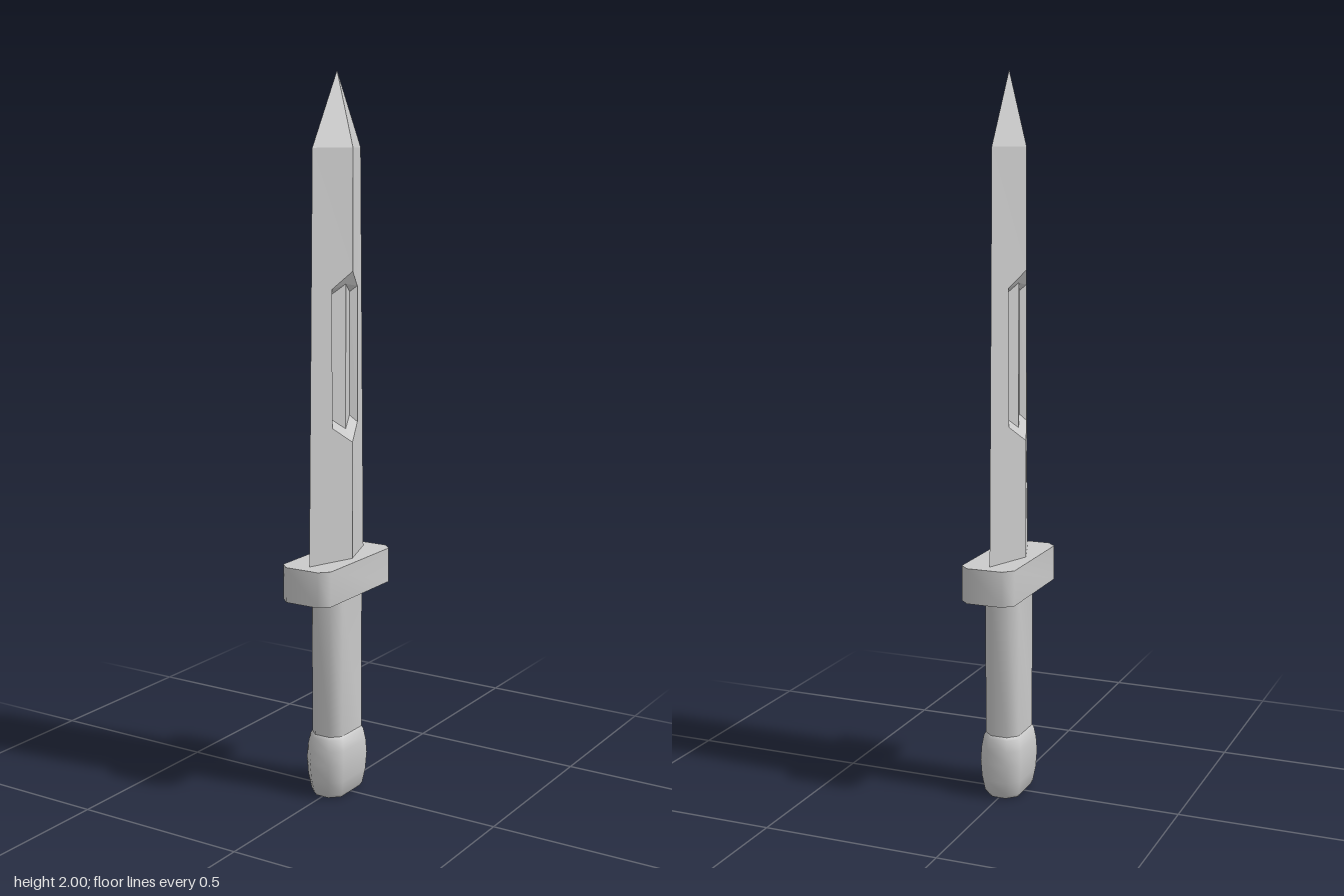
import * as THREE from 'three';
import { mergeVertices, toCreasedNormals } from 'three/addons/utils/BufferGeometryUtils.js';

const grey = () => new THREE.MeshStandardMaterial({ color: 0xcccccc });

// Lofts chamfered-rectangle sections [y, halfX, halfZ, chamfer] and caps both ends
function chamferedLoft(name, rings, crease) {
  const pos = [];
  const loops = rings.map(([y, x, z, c]) => [
    [x, y, z - c], [x - c, y, z], [c - x, y, z], [-x, y, z - c],
    [-x, y, c - z], [c - x, y, -z], [x - c, y, -z], [x, y, c - z],
  ]);
  const tri = (a, b, c) => pos.push(...a, ...b, ...c);
  for (let r = 0; r < loops.length - 1; r++) {
    for (let i = 0; i < 8; i++) {
      const j = (i + 1) % 8, lo = loops[r], hi = loops[r + 1];
      tri(lo[i], hi[j], lo[j]);
      tri(lo[i], hi[i], hi[j]);
    }
  }
  const bottom = loops[0], top = loops[loops.length - 1];
  for (let i = 1; i < 7; i++) {
    tri(bottom[0], bottom[i], bottom[i + 1]);
    tri(top[0], top[i + 1], top[i]);
  }
  // The loops run clockwise seen from above, so reverse every triangle
  for (let k = 0; k < pos.length; k += 9) {
    for (let d = 0; d < 3; d++) {
      [pos[k + 3 + d], pos[k + 6 + d]] = [pos[k + 6 + d], pos[k + 3 + d]];
    }
  }
  let geo = new THREE.BufferGeometry();
  geo.setAttribute('position', new THREE.Float32BufferAttribute(pos, 3));
  geo = fixWinding(geo);
  geo = toCreasedNormals(mergeVertices(geo), crease);
  const mesh = new THREE.Mesh(geo, grey());
  mesh.name = name;
  return mesh;
}

// Turns every triangle of a convex solid outward from its centre
function fixWinding(geo) {
  geo.computeBoundingBox();
  const centre = geo.boundingBox.getCenter(new THREE.Vector3());
  const p = geo.attributes.position;
  const v = [0, 1, 2].map(() => new THREE.Vector3());
  const t = new THREE.Triangle(), n = new THREE.Vector3();
  for (let i = 0; i < p.count; i += 3) {
    v.forEach((q, k) => q.fromBufferAttribute(p, i + k));
    t.set(...v).getNormal(n);
    if (n.dot(v[0].clone().sub(centre)) < 0) {
      p.setXYZ(i + 1, ...v[2].toArray());
      p.setXYZ(i + 2, ...v[1].toArray());
    }
  }
  return geo;
}

// Diamond-section blade with a sunken hexagonal panel on each side
function makeBlade() {
  const thick = 0.05, y0 = 0.68, y1 = 1.8;
  const edge = (y) => 0.14 - 0.02 * (y - y0) / (y1 - y0);
  const onFace = (y, z) => [thick * (1 - z / edge(y)), y, z];

  const ridgeLow = onFace(y0, 0), ridgeHigh = onFace(y1, 0);
  const edgeLow = onFace(y0, edge(y0)), edgeHigh = onFace(y1, edge(y1));
  const tip = [0, 2, 0];
  const rim = [onFace(1.01, 0), onFace(1.055, 0.064), onFace(1.43, 0.064), onFace(1.475, 0)];
  const floor = [[0.028, 1.045, 0], [0.012, 1.075, 0.045], [0.012, 1.415, 0.045], [0.028, 1.44, 0]];

  const tris = [
    [ridgeLow, rim[0], edgeLow], [rim[0], rim[1], edgeLow], [rim[1], rim[2], edgeLow],
    [rim[2], edgeHigh, edgeLow], [rim[2], rim[3], edgeHigh], [rim[3], ridgeHigh, edgeHigh],
    [ridgeHigh, tip, edgeHigh],
    [floor[0], floor[3], floor[2]], [floor[0], floor[2], floor[1]],
    [[0, y0, 0], ridgeLow, edgeLow],
  ];
  // Sloping walls of the sunken panel
  for (let i = 0; i < 3; i++) {
    tris.push([rim[i], floor[i], floor[i + 1]], [rim[i], floor[i + 1], rim[i + 1]]);
  }
  // Mirror one quarter into four, flipping the winding where needed
  const pos = [];
  for (const sx of [1, -1]) for (const sz of [1, -1]) {
    for (const [a, b, c] of tris) {
      const order = sx * sz > 0 ? [a, b, c] : [a, c, b];
      for (const [x, y, z] of order) pos.push(sx * x, y, sz * z);
    }
  }
  const geo = new THREE.BufferGeometry();
  geo.setAttribute('position', new THREE.Float32BufferAttribute(pos, 3));
  geo.computeVertexNormals();
  const mat = grey();
  mat.flatShading = true;
  const mesh = new THREE.Mesh(geo, mat);
  mesh.name = 'blade';
  return mesh;
}

export function createModel() {
  const group = new THREE.Group();
  group.name = 'dagger';
  group.add(
    makeBlade(),
    chamferedLoft('guard', [[0.585, 0.077, 0.178, 0.026], [0.683, 0.077, 0.178, 0.026]], 0.9),
    chamferedLoft('grip', [[0.17, 0.05, 0.077, 0.026], [0.59, 0.05, 0.077, 0.026]], 0.9),
    chamferedLoft('pommel', [
      [0, 0.046, 0.076, 0.026], [0.01, 0.051, 0.083, 0.028], [0.05, 0.058, 0.09, 0.03],
      [0.1, 0.061, 0.093, 0.03], [0.14, 0.059, 0.09, 0.03], [0.172, 0.054, 0.083, 0.028],
      [0.18, 0.05, 0.077, 0.026],
    ], 0.9),
  );
  return group;
}
